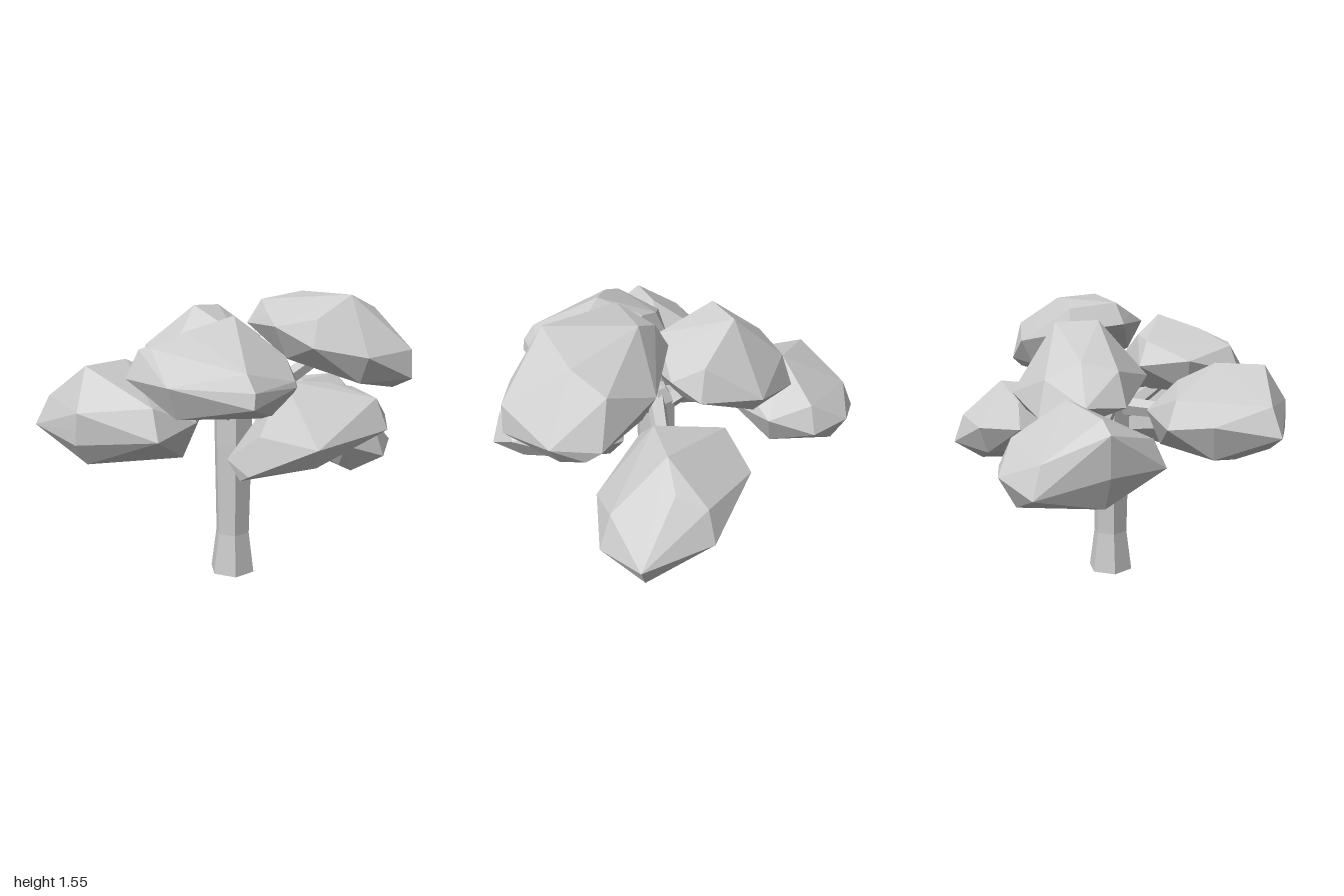
import * as THREE from 'three';
import { ConvexGeometry } from 'three/addons/geometries/ConvexGeometry.js';

const material = new THREE.MeshStandardMaterial({ color: 0xcccccc, flatShading: true });
const V = (x, y, z) => new THREE.Vector3(x, y, z);

// Faceted leaf clump: tilted rim outline [x, z], shoulder ring, underside ring and a few outstanding corners.
function leafClump({ centre, slope, rim, corners, depth }) {
  const [cx, cy, cz] = centre;
  const plane = (x, z) => cy + slope[0] * (x - cx) + slope[1] * (z - cz);
  const lift = 0.42 * Math.max(...corners.map(([x, y, z]) => y - plane(x, z)));
  const points = corners.map(p => V(...p));
  rim.forEach(([x, z], i) => {
    const ring = (scale, dy) => {
      const px = cx + (x - cx) * scale, pz = cz + (z - cz) * scale;
      points.push(V(px, plane(px, pz) + dy, pz));
    };
    ring(1, i % 2 ? 0.02 : -0.02);
    if (i % 2 === 0) ring(0.84, lift);
    else ring(0.8, -depth);
  });
  return new ConvexGeometry(points);
}

const clumps = {
  topFrontLeaves: {
    centre: [0.23, 1.28, 0.57], slope: [-0.2, -0.25], depth: 0.12,
    rim: [[0.23, 0.14], [0.53, 0.35], [0.635, 0.66], [0.53, 0.86], [0.27, 0.99], [0.03, 0.87], [-0.11, 0.65], [-0.17, 0.47], [-0.07, 0.24]],
    corners: [[0.12, 1.55, 0.72], [0.31, 1.545, 0.33], [-0.1, 1.46, 0.38], [0.42, 1.47, 0.7], [0.57, 1.38, 0.6], [0.59, 1.1, 0.72], [0.27, 1.29, 0.98]],
  },
  upperRightLeaves: {
    centre: [-0.4, 1.17, 0.26], slope: [0.05, -0.14], depth: 0.14,
    rim: [[-0.69, -0.02], [-0.42, -0.12], [-0.16, -0.05], [-0.05, 0.25], [-0.1, 0.57], [-0.25, 0.65], [-0.575, 0.635], [-0.74, 0.28]],
    corners: [[-0.265, 1.455, 0.3], [-0.48, 1.39, 0.18], [-0.64, 1.32, 0.1], [-0.15, 1.36, 0.1], [-0.56, 1.16, 0.63], [-0.25, 1.17, 0.64], [-0.67, 1.035, 0.3]],
  },
  upperBackLeaves: {
    centre: [0.15, 1.12, -0.2], slope: [-0.1, 0.18], depth: 0.08,
    rim: [[-0.1, -0.51], [0.09, -0.58], [0.32, -0.54], [0.49, -0.25], [0.42, 0.06], [0.28, 0.15], [0, 0.16], [-0.2, -0.18]],
    corners: [[0.05, 1.46, -0.2], [0.27, 1.45, -0.2], [0.13, 1.29, 0.12], [0.12, 1.28, -0.45]],
  },
  lowerRightLeaves: {
    centre: [-0.57, 0.95, -0.12], slope: [0.04, 0], depth: 0.16,
    rim: [[-0.85, -0.49], [-0.52, -0.5], [-0.3, -0.42], [-0.2, -0.13], [-0.3, 0.12], [-0.52, 0.27], [-0.77, 0.25], [-0.93, -0.12]],
    corners: [[-0.8, 1.235, -0.17], [-0.55, 1.24, -0.15], [-0.36, 1.14, -0.1], [-0.93, 1.04, -0.1], [-0.93, 0.885, -0.12], [-0.65, 0.765, -0.3]],
  },
  lowerLeftLeaves: {
    centre: [0.57, 0.76, 0.3], slope: [-0.12, -0.28], depth: 0.12,
    rim: [[0.48, -0.1], [0.71, -0.06], [0.93, 0.255], [0.895, 0.61], [0.63, 0.7], [0.36, 0.6], [0.2, 0.32], [0.27, 0.03]],
    corners: [[0.66, 1.06, 0.36], [0.39, 1.05, 0.3], [0.5, 0.95, -0.02], [0.78, 0.93, 0.38], [0.49, 0.545, 0.57], [0.85, 0.545, 0.57]],
  },
  lowerBackLeaves: {
    centre: [0.1, 0.83, -0.65], slope: [-0.05, 0.13], depth: 0.14,
    rim: [[-0.29, -0.69], [-0.04, -0.885], [0.29, -1], [0.47, -0.82], [0.51, -0.58], [0.38, -0.37], [0.1, -0.31], [-0.2, -0.42]],
    corners: [[0.18, 1.12, -0.57], [0, 1.08, -0.82], [-0.04, 1.02, -0.88]],
  },
  lowerFrontLeaves: {
    centre: [-0.1, 0.87, 0.64], slope: [0.18, 0.2], depth: 0.08,
    rim: [[-0.52, 0.57], [-0.33, 0.82], [0.015, 0.99], [0.13, 0.92], [0.29, 0.7], [0.25, 0.4], [-0.05, 0.28], [-0.4, 0.36]],
    corners: [[-0.25, 1.17, 0.58], [-0.02, 1.14, 0.7], [0.17, 1.06, 0.58], [0, 1.02, 0.92], [-0.29, 0.68, 0.4], [-0.46, 0.71, 0.48]],
  },
};

export function createModel() {
  const tree = new THREE.Group();
  tree.name = 'tree';
  const add = (name, geometry) => {
    const mesh = new THREE.Mesh(geometry, material);
    mesh.name = name;
    tree.add(mesh);
    return mesh;
  };

  // Six-sided trunk with a flared foot and a broad top
  const profile = [[0, 0], [0.128, 0], [0.097, 0.23], [0.108, 0.75], [0.108, 0.95], [0.06, 1.02], [0, 1.03]];
  const trunk = add('trunk', new THREE.LatheGeometry(profile.map(([r, y]) => new THREE.Vector2(r, y)), 6));
  trunk.rotation.y = 0.25;
  trunk.position.z = 0.105;

  // Foliage, with one straight branch to each clump: rising to the high ones, drooping to the low ones
  for (const [name, clump] of Object.entries(clumps)) {
    add(name, leafClump(clump));
    const end = V(...clump.centre);
    const start = V(0, end.y > 1 ? 0.88 : 0.97, 0.105);
    const along = end.clone().sub(start);
    const branch = add(name.replace('Leaves', 'Branch'), new THREE.CylinderGeometry(0.035, 0.055, along.length(), 5));
    branch.position.copy(start).addScaledVector(along, 0.5);
    branch.quaternion.setFromUnitVectors(V(0, 1, 0), along.normalize());
  }
  return tree;
}
